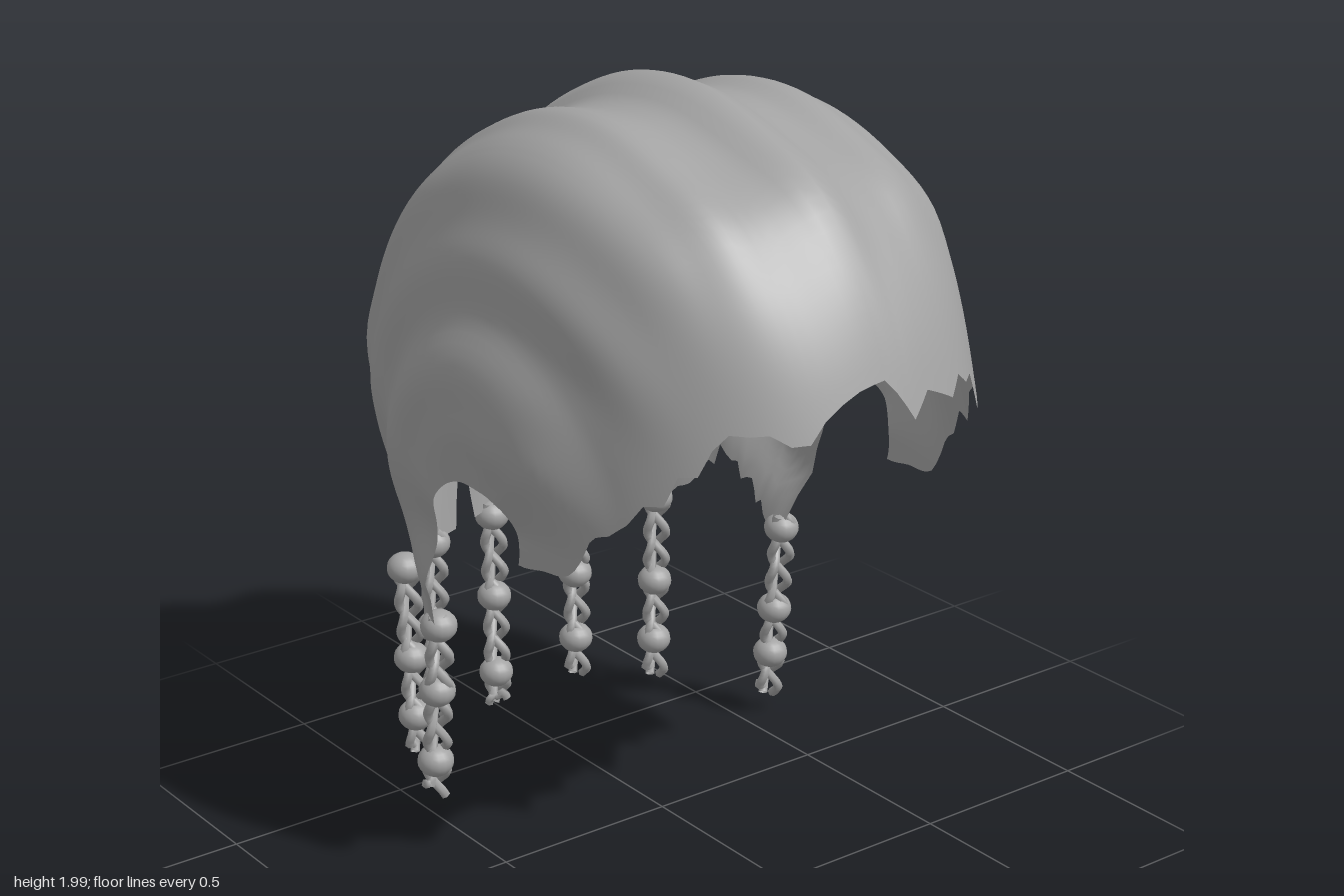
import * as THREE from 'three';

const DEG = Math.PI / 180;

// Smooth interpolation through [key, value] pairs
function sample(table, k) {
  if (k <= table[0][0]) return table[0][1];
  for (let i = 1; i < table.length; i++) {
    if (k > table[i][0]) continue;
    const [k0, v0] = table[i - 1], [k1, v1] = table[i];
    const slope = (a, b) => (table[b][1] - table[a][1]) / (table[b][0] - table[a][0]);
    const m0 = slope(Math.max(i - 2, 0), i), m1 = slope(i - 1, Math.min(i + 1, table.length - 1));
    const h = k1 - k0, f = (k - k0) / h, g = 1 - f;
    return v0 * g * g * (1 + 2 * f) + v1 * f * f * (3 - 2 * f) + h * f * g * (m0 * g - m1 * f);
  }
  return table[table.length - 1][1];
}
const step = THREE.MathUtils.smoothstep;
const bump = (x, c, w) => Math.exp(-(((x - c) / w) ** 2));
const hash = (n) => { const s = Math.sin(n * 127.1 + 3.7) * 43758.5453; return s - Math.floor(s); };

// Hair is swept around an axis through the ears, from the fringe (26 deg) over the crown to the nape
const EAR_Y = 1.0, EAR_Z = 0.05;
const CREST = [[-28, 0.85], [0, 0.86], [26, 0.89], [47, 0.96], [57, 0.995], [69, 0.99], [84, 1.0],
  [99, 0.99], [114, 0.972], [132, 0.97], [152, 0.96], [162, 0.95], [173.5, 0.89], [190, 0.865],
  [206, 0.92], [216, 1.02], [228, 1.24], [240, 1.6]];
const EAR_RIM = [[-28, 0.17], [0, 0.15], [22, 0.13], [60, 0.1], [90, 0.09], [130, 0.1], [171, 0.13],
  [214, 0.18], [231, 0.32], [237, 0.455], [242, 0.56]];
const HAIRLINE = [[0, 26], [0.3, 25], [0.55, 22], [0.78, 11], [0.865, -9], [0.94, -16], [1, -28]];
// Cross-section exponent: rounder at the fringe and nape, boxier over the crown
const FULLNESS = [[-28, 2.45], [30, 2.5], [75, 3], [115, 3], [150, 2.65], [168, 2.6], [200, 2], [242, 2]];

function hairPoint(t, phi) {
  const R = sample(CREST, phi), rim = sample(EAR_RIM, phi);
  const e = 2 / sample(FULLNESS, phi);
  const width = 0.585 + 0.018 * step(phi, 20, 70) - 0.008 * step(phi, 170, 210);
  const a = Math.abs(t) * Math.acos(Math.pow(rim / R, 1 / e));
  const r = R * Math.pow(Math.cos(a), e);
  const x = width * Math.pow(Math.sin(a), e);
  // raised centre lock with a groove on each side, and a weaker lock beside it
  const locks = step(phi, 30, 80) * (1 - 0.5 * step(phi, 180, 210));
  let d = -0.06 * (1 - bump(x, 0, 0.075)) * (1 - step(x, 0.17, 0.4));
  d += 0.012 * bump(x, 0.27, 0.06) - 0.012 * bump(x, 0.36, 0.05);
  d *= locks;
  // soft folds running round the ears
  d += 0.005 * Math.sin(r * 30 + phi * 0.02) * step(x, 0.3, 0.5) * step(phi, 20, 60);
  // step outwards above the ears
  const flare = 0.045 * (1 - step(r, 0.31, 0.5)) * (0.6 + 0.4 * step(r, 0.1, 0.34));
  const spread = flare * step(phi, -5, 40) * (1 - step(phi, 228, 242));
  return [
    (x + d * Math.sin(a) + spread) * Math.sign(t),
    EAR_Y + (r + d * Math.cos(a)) * Math.sin(phi * DEG),
    EAR_Z + (r + d * Math.cos(a)) * Math.cos(phi * DEG),
  ];
}

// Height of the lower edge: split into locks above the braids
const NOTCHES = [[0.16, 0.055, 0.26], [0.4, 0.04, 0.05], [0.73, 0.17, 0.18]];
function napeHeight(t, i) {
  let cut = 0;
  for (const [c, w, h] of NOTCHES) cut = Math.max(cut, h * (1 - Math.abs(Math.abs(t) - c) / w));
  return 0.61 + cut + (cut > 0 ? 0.05 * (hash(i + 40) - 0.5) : 0);
}
function napeAngle(t, i) {
  const y = napeHeight(t, i);
  let lo = 180, hi = 242;
  for (let n = 0; n < 30; n++) {
    const mid = (lo + hi) / 2;
    if (hairPoint(t, mid)[1] > y) lo = mid; else hi = mid;
  }
  return lo;
}

function hairGeometry() {
  const cols = 120, rows = 72, pos = [], index = [];
  for (let i = 0; i <= cols; i++) {
    const t = (i / cols) * 2 - 1;
    // ragged fringe made of pointed teeth
    const k = Math.floor(i / 3);
    const tooth = 7 * (THREE.MathUtils.lerp(hash(k), hash(k + 1), (i % 3) / 3) - 0.5);
    const start = sample(HAIRLINE, Math.abs(t)) + tooth * (1 - step(Math.abs(t), 0.8, 0.9));
    const end = napeAngle(t, i);
    for (let j = 0; j <= rows; j++) {
      pos.push(...hairPoint(t, start + (end - start) * j / rows));
      if (i < cols && j < rows) {
        const a = i * (rows + 1) + j, b = a + rows + 1;
        index.push(a, b, a + 1, b, b + 1, a + 1);
      }
    }
  }
  const geo = new THREE.BufferGeometry();
  geo.setAttribute('position', new THREE.Float32BufferAttribute(pos, 3));
  geo.setIndex(index);
  geo.computeVertexNormals();
  return geo;
}

// Three interwoven strands with three round beads
function makeBraid({ top, bottom, beads }, material) {
  const braid = new THREE.Group();
  braid.name = 'braid';
  const start = new THREE.Vector3(...top), end = new THREE.Vector3(...bottom);
  const length = start.y - end.y;
  for (let s = 0; s < 3; s++) {
    const points = [];
    for (let k = 0; k <= 36; k++) {
      const f = k / 36, th = f * length * 25 + s * 2 * Math.PI / 3;
      const p = start.clone().lerp(end, f);
      p.x += 0.025 * Math.sin(th);
      p.z += 0.016 * Math.sin(2 * th) + 0.014 * Math.cos(th);
      p.y += f > 0.97 ? s * 0.015 : 0;
      points.push(p);
    }
    const strand = new THREE.Mesh(
      new THREE.TubeGeometry(new THREE.CatmullRomCurve3(points), 72, 0.013, 6), material);
    strand.name = 'braidStrand';
    braid.add(strand);
  }
  for (const y of beads) {
    const bead = new THREE.Mesh(new THREE.SphereGeometry(0.048, 16, 12), material);
    bead.name = 'bead';
    bead.position.lerpVectors(start, end, (start.y - y) / length);
    bead.scale.y = 0.88;
    braid.add(bead);
  }
  return braid;
}

export function createModel() {
  const group = new THREE.Group();
  group.name = 'braidedHair';
  const grey = new THREE.MeshStandardMaterial({ color: 0xa3a3a3, side: THREE.DoubleSide });
  grey.name = 'hairGrey';

  const hair = new THREE.Mesh(hairGeometry(), grey);
  hair.name = 'hairShell';
  group.add(hair);

  const braids = [
    { top: [-0.54, 0.63, -0.22], bottom: [-0.53, 0.1, -0.28], beads: [0.6, 0.41, 0.2] },
    { top: [-0.42, 0.63, -0.57], bottom: [-0.4, 0.06, -0.56], beads: [0.61, 0.35, 0.18] },
    { top: [-0.24, 0.63, -0.71], bottom: [-0.24, 0.06, -0.72], beads: [0.59, 0.34, 0.15] },
    { top: [0, 0.63, -0.78], bottom: [-0.01, 0.015, -0.76], beads: [0.59, 0.35, 0.12] },
    { top: [0.23, 0.63, -0.71], bottom: [0.23, 0.06, -0.71], beads: [0.6, 0.38, 0.18] },
    { top: [0.41, 0.63, -0.57], bottom: [0.4, 0.06, -0.57], beads: [0.61, 0.36, 0.18] },
    { top: [0.58, 0.63, -0.22], bottom: [0.58, 0.06, -0.28], beads: [0.59, 0.34, 0.2] },
  ];
  for (const b of braids) group.add(makeBraid(b, grey));
  return group;
}
